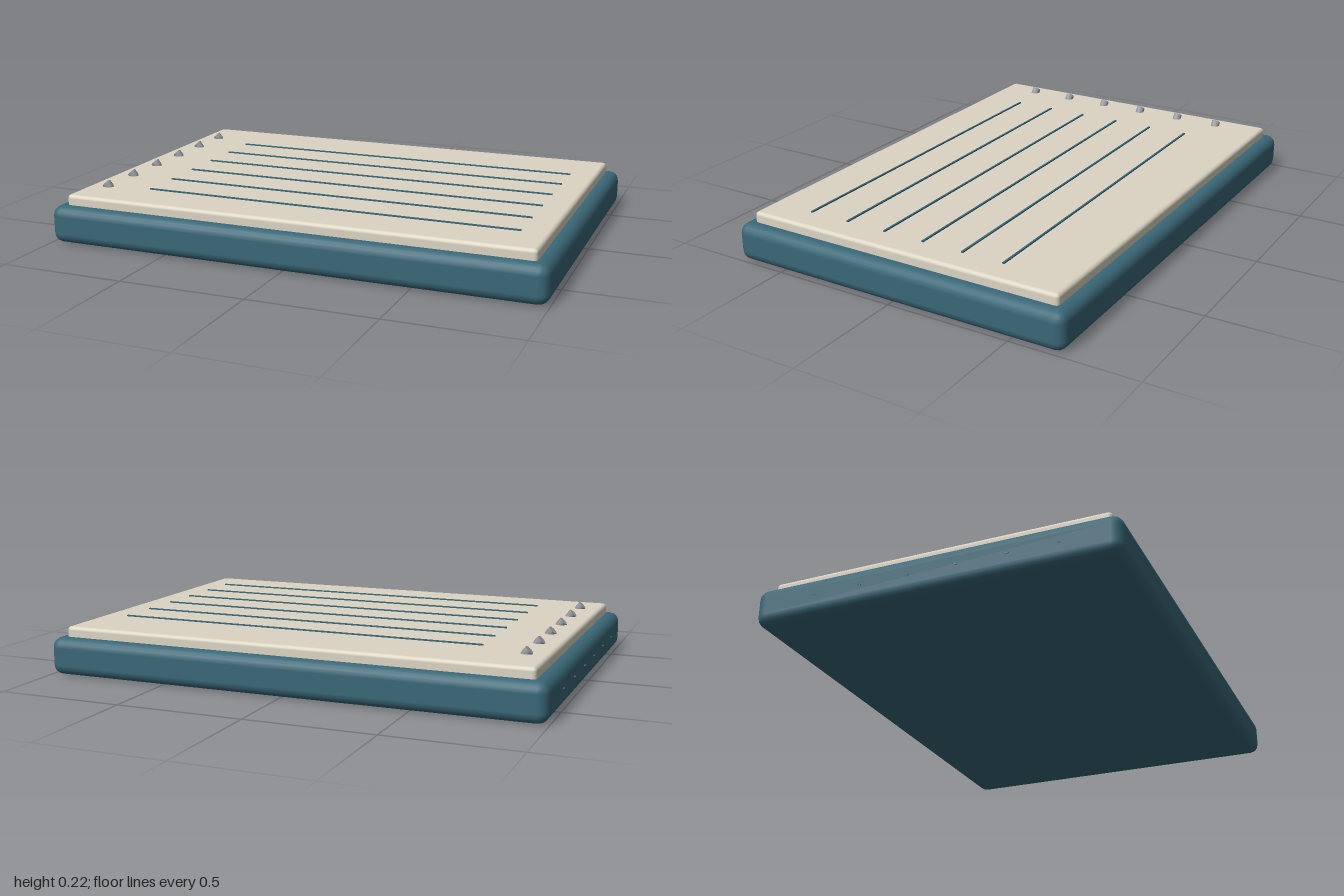
import * as THREE from 'three';
import { RoundedBoxGeometry } from 'three/addons/geometries/RoundedBoxGeometry.js';

const paint = (color) => new THREE.MeshStandardMaterial({ color });

export function createModel() {
  const model = new THREE.Group();
  model.name = 'notebook';
  const teal = paint(0x3a6878);
  const cream = paint(0xdcd5c4);
  const metal = paint(0x969b9f);

  const add = (parent, name, geometry, material, x, y, z) => {
    const mesh = new THREE.Mesh(geometry, material);
    mesh.name = name;
    mesh.position.set(x, y, z);
    parent.add(mesh);
    return mesh;
  };

  // Thick cover with the page block set into its top
  add(model, 'cover', new RoundedBoxGeometry(1.994, 0.15, 1.42, 2, 0.04), teal, 0, 0.075, 0);
  add(model, 'pages', new RoundedBoxGeometry(1.89, 0.09, 1.325, 2, 0.015), cream, 0, 0.146, 0);

  // Ruled lines
  const lineGeometry = new THREE.BoxGeometry(1.52, 0.01, 0.008);
  for (let i = 0; i < 6; i++) {
    add(model, 'ruledLine', lineGeometry, teal, 0.08, 0.191, -0.385 + i * 0.171);
  }

  // Binding rings: half hoops passing through the pages, with closed ends
  const radius = 0.082, tube = 0.019;
  const hoop = new THREE.TorusGeometry(radius, tube, 8, 16, Math.PI);
  const disc = new THREE.CircleGeometry(tube, 8);
  for (let i = 0; i < 6; i++) {
    const ring = new THREE.Group();
    ring.name = 'bindingRing';
    ring.position.set(-0.929, 0.147, -0.458 + i * 0.19);
    ring.rotation.z = -Math.PI * 0.75;
    add(ring, 'hoop', hoop, metal, 0, 0, 0);
    for (const side of [-1, 1]) {
      add(ring, 'ringEnd', disc, metal, side * radius, 0, 0).rotation.x = Math.PI / 2;
    }
    model.add(ring);
  }
  return model;
}
